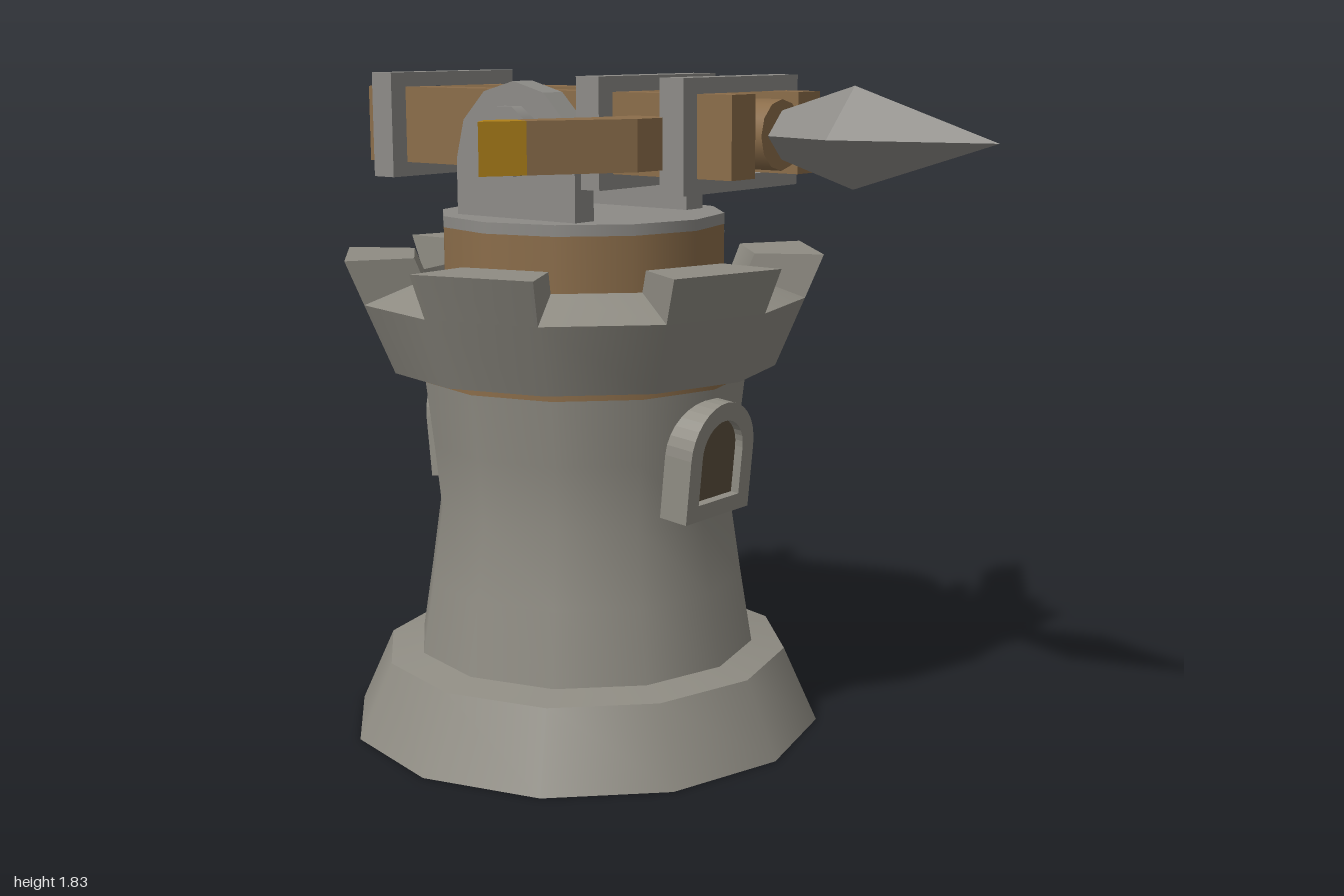
import * as THREE from 'three';

const mat = (name, color, double) => {
  const m = new THREE.MeshStandardMaterial({ color });
  m.name = name;
  if (double) m.side = THREE.DoubleSide;
  return m;
};

export function createModel() {
  const stone = mat('stone', 0x8f8c83, true);
  const metal = mat('iron', 0x8d8b87);
  const wood = mat('wood', 0x8b6d4a);
  const dark = mat('window dark', 0x5c503d);
  const gold = mat('gold', 0xb0811a);

  const model = new THREE.Group();
  const SIDES = 12, STEP = Math.PI * 2 / SIDES;

  const add = (parent, name, geo, material, x = 0, y = 0, z = 0) => {
    const mesh = new THREE.Mesh(geo, material);
    mesh.name = name;
    mesh.position.set(x, y, z);
    parent.add(mesh);
    return mesh;
  };
  const box = (parent, name, material, x0, x1, y0, y1, z0, z1) =>
    add(parent, name, new THREE.BoxGeometry(x1 - x0, y1 - y0, z1 - z0), material,
      (x0 + x1) / 2, (y0 + y1) / 2, (z0 + z1) / 2);
  const vecs = pts => pts.map(([x, y]) => new THREE.Vector2(x, y));
  // Revolved wall, smooth around the axis and along its profile
  const band = (parent, name, pts, start = 0, segs = SIDES) =>
    add(parent, name, new THREE.LatheGeometry(vecs(pts), segs, start, segs * STEP), stone);
  const extrude = (shape, depth) =>
    new THREE.ExtrudeGeometry(shape, { depth, bevelEnabled: false, curveSegments: 8 });

  // ---- Tower ----
  const tower = new THREE.Group();
  tower.name = 'tower';
  tower.position.z = -0.28;
  model.add(tower);

  band(tower, 'baseWall', [[0.67, 0], [0.575, 0.21]]);
  band(tower, 'baseLedge', [[0.575, 0.21], [0.475, 0.23]]);
  band(tower, 'shaft', [[0.482, 0.225], [0.449, 0.43], [0.418, 0.64], [0.436, 0.82], [0.458, 1.01]]);
  add(tower, 'woodenFloor', new THREE.CylinderGeometry(0.462, 0.458, 0.2, SIDES), wood, 0, 1.1, 0);

  // Crown wall with sloping notch floors
  band(tower, 'crownUnderside', [[0.41, 1.03], [0.54, 1.03]]);
  band(tower, 'crownOuterWall', [[0.54, 1.03], [0.62, 1.22]]);
  band(tower, 'crownNotchFloor', [[0.62, 1.22], [0.455, 1.28]]);
  band(tower, 'crownInnerWall', [[0.455, 1.28], [0.41, 1.03]]);

  // Merlons on every second side of the crown
  const merlon = [[0.62, 1.22], [0.67, 1.34], [0.48, 1.34], [0.455, 1.28]];
  for (let i = 1; i < SIDES; i += 2) {
    const start = i * STEP;
    for (let k = 0; k < 3; k++) band(tower, 'merlonFace', [merlon[k], merlon[k + 1]], start, 1);
    for (const phi of [start, start + STEP]) {
      const end = add(tower, 'merlonEnd', new THREE.ShapeGeometry(new THREE.Shape(vecs(merlon))), stone);
      end.rotation.y = phi - Math.PI / 2;
    }
  }

  // Turntable
  add(tower, 'turntableDrum', new THREE.CylinderGeometry(0.395, 0.395, 0.22, SIDES), wood, 0, 1.31, 0);
  add(tower, 'turntablePlate', new THREE.CylinderGeometry(0.396, 0.396, 0.03, SIDES), metal, 0, 1.435, 0);

  // Arched windows, front and back
  const arch = (Kind, half, y0, spring) => {
    const s = new Kind();
    s.moveTo(-half, y0);
    s.lineTo(half, y0);
    s.lineTo(half, spring);
    s.absarc(0, spring, half, 0, Math.PI, false);
    s.closePath();
    return s;
  };
  for (const turn of [0, Math.PI]) {
    const holder = new THREE.Group();
    holder.name = 'windowHolder';
    holder.rotation.y = turn;
    tower.add(holder);
    const win = new THREE.Group();
    win.name = 'window';
    win.position.set(0, 0.655, 0.47);
    win.rotation.x = 0.1;
    holder.add(win);
    const frame = arch(THREE.Shape, 0.14, 0, 0.176);
    frame.holes.push(arch(THREE.Path, 0.09, 0.045, 0.176));
    add(win, 'windowFrame', extrude(frame, 0.09), stone, 0, 0, -0.09);
    add(win, 'windowPane', new THREE.ShapeGeometry(arch(THREE.Shape, 0.092, 0.043, 0.176), 8), dark, 0, 0, -0.025);
  }

  // ---- Ballista ----
  const ballista = new THREE.Group();
  ballista.name = 'ballista';
  model.add(ballista);
  const AXIS = 1.68;

  // Side brackets in the z-y plane
  const bracketPts = [[-0.21, 1.45], [0.21, 1.45]];
  for (let i = 0; i <= 6; i++) {
    const a = i * Math.PI / 6;
    bracketPts.push([0.21 * Math.cos(a), 1.6 + 0.21 * Math.sin(a)]);
  }
  // Bow outlines in the x-z plane
  const limb = [[0, 0.06], [0.2, 0.06], [0.34, 0.04], [0.54, -0.03], [0.585, 0.045], [0.34, 0.19], [0.2, 0.2], [0, 0.2]];
  const limbTip = [[0.54, -0.03], [0.61, -0.07], [0.69, -0.015], [0.585, 0.045]];
  const flatPrism = (pts, side, depth) =>
    extrude(new THREE.Shape(vecs(pts.map(([x, z]) => [x * side, -z]))), depth).rotateX(-Math.PI / 2);

  for (const side of [1, -1]) {
    const bracket = extrude(new THREE.Shape(vecs(bracketPts)), 0.075).rotateY(-Math.PI / 2);
    add(ballista, 'bracket', bracket, metal, side > 0 ? 0.275 : -0.2, 0, -0.28);
    add(ballista, 'pivotHub', new THREE.CylinderGeometry(0.095, 0.095, 0.08, 10).rotateZ(Math.PI / 2),
      metal, side * 0.275, 1.655, -0.28);
    const x = side * 0.145;
    box(ballista, 'rail', wood, x - 0.05, x + 0.05, 1.575, 1.785, -0.91, 0.37);
    add(ballista, 'bowLimb', flatPrism(limb, side, 0.13), wood, 0, 1.597, 0);
    add(ballista, 'bowTip', flatPrism(limbTip, side, 0.13), gold, 0, 1.597, 0);
  }

  // Iron frames clamping the rails
  for (const z of [0.225, -0.047, -0.8]) {
    for (const s of [-1, 1]) {
      box(ballista, 'frameSide', metal, s * 0.2225 - 0.0275, s * 0.2225 + 0.0275, 1.535, 1.825, z - 0.038, z + 0.038);
      const y = AXIS + s * 0.125;
      box(ballista, 'frameBar', metal, -0.195, 0.195, y - 0.02, y + 0.02, z - 0.038, z + 0.038);
    }
  }

  // Bolt with a four-sided head
  add(ballista, 'boltShaft', new THREE.CylinderGeometry(0.06, 0.06, 1.38, 12).rotateX(Math.PI / 2), wood, 0, AXIS, -0.31);
  add(ballista, 'boltCollar', new THREE.CylinderGeometry(0.09, 0.09, 0.325, 12).rotateX(Math.PI / 2), wood, 0, AXIS, 0.2225);
  const facet = (front, back, len) => {
    const g = new THREE.CylinderGeometry(front, back, len, 4).rotateX(Math.PI / 2).toNonIndexed();
    g.computeVertexNormals();
    return g;
  };
  add(ballista, 'boltHeadPoint', facet(0, 0.127, 0.4), metal, 0, AXIS, 0.8);
  add(ballista, 'boltHeadBase', facet(0.127, 0.06, 0.22), metal, 0, AXIS, 0.49);

  return model;
}
